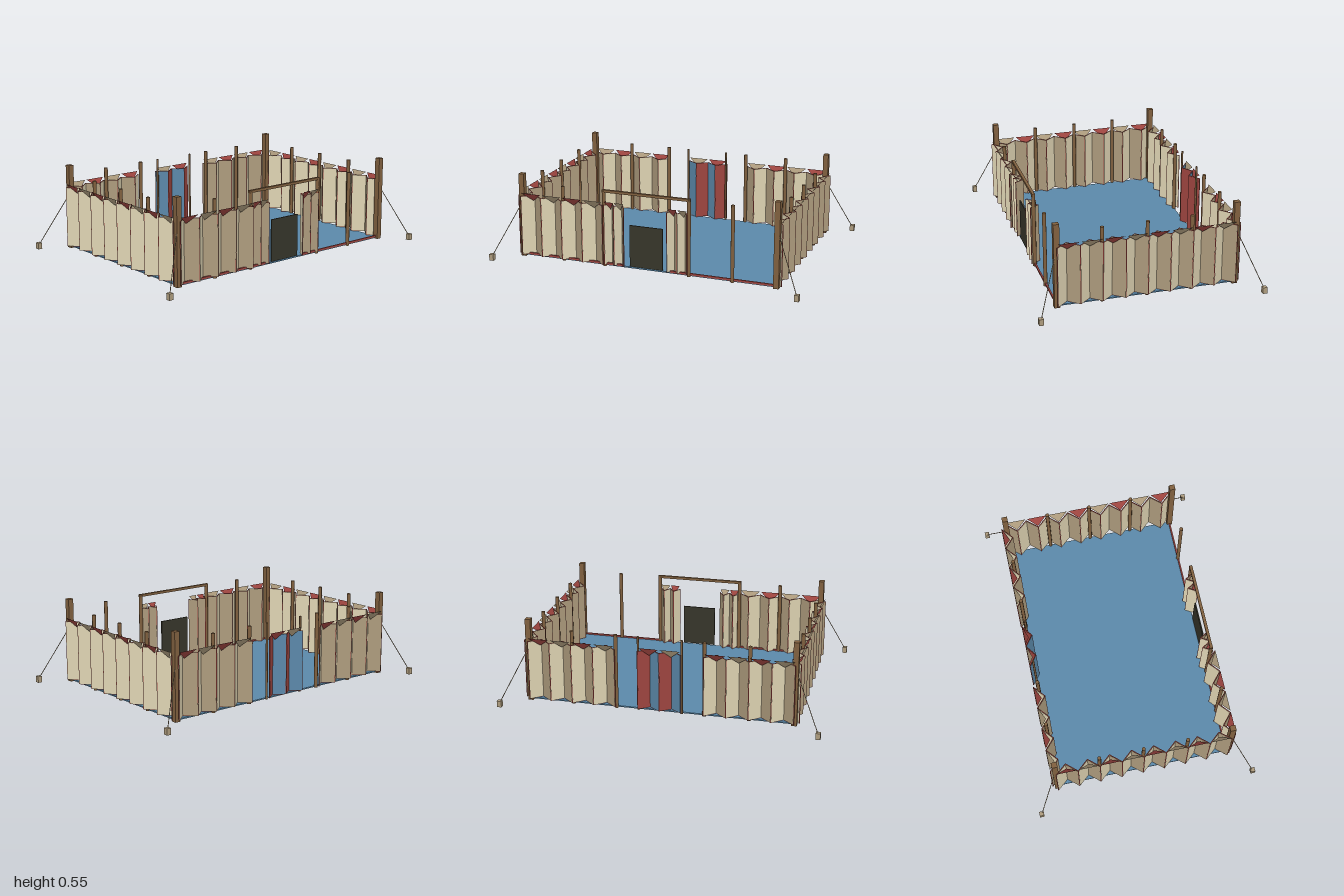
import * as THREE from 'three';

const mat = (name, color, side = THREE.FrontSide) => {
  const m = new THREE.MeshStandardMaterial({ color, side });
  m.name = name;
  return m;
};

export function createModel() {
  const root = new THREE.Group();
  root.name = 'fabricEnclosure';
  const cream = mat('cream canvas', 0xdfd4b3);
  const tan = mat('tan canvas', 0xad9b7d);
  const tanFlap = mat('tan flap', 0xad9b7d, THREE.DoubleSide);
  const red = mat('red cloth', 0x9e4540);
  const redFlap = mat('red flap', 0x9e4540, THREE.DoubleSide);
  const blue = mat('blue cloth', 0x5b88a9);
  const wood = mat('brown wood', 0x80603f);
  const dark = mat('dark door', 0x36352a);

  const add = (parent, name, geo, material, x = 0, y = 0, z = 0) => {
    const m = new THREE.Mesh(geo, material);
    m.name = name;
    m.position.set(x, y, z);
    parent.add(m);
    return m;
  };
  const box = (parent, name, w, h, d, material, x, y, z) =>
    add(parent, name, new THREE.BoxGeometry(w, h, d), material, x, y, z);

  // Floor sheet
  box(root, 'floor', 1.65, 0.008, 1.1, blue, 0, 0.018, 0);

  // Pleated wall: local x runs along the wall, local z points outwards
  const BOTTOM = 0.025, TOP = 0.402;
  function pleatedWall(parent, name, x0, x1, count, matA, matB, amp = 0.03, zMid = 0, flaps = true) {
    const g = new THREE.Group();
    g.name = name;
    g.position.z = zMid;
    parent.add(g);
    const step = (x1 - x0) / count;
    const len = Math.hypot(step, 2 * amp);
    const midY = (BOTTOM + TOP) / 2, h = TOP - BOTTOM;
    for (let i = 0; i < count; i++) {
      const angle = Math.atan2(2 * amp, step) * (i % 2 ? -1 : 1);
      const x = x0 + (i + 0.5) * step;
      const panel = box(g, 'panel', len * 0.97, h, 0.006, i % 2 ? matB : matA, x, midY, 0);
      const lining = box(g, 'lining', len + 0.003, h + 0.004, 0.0045, red, x, midY, 0);
      panel.rotation.y = lining.rotation.y = angle;
      // Triangular flap bridging each inner fold
      if (flaps && i % 2 === 0) {
        const xf = x0 + (i + 1) * step, w = Math.abs(step) * 0.92;
        const geo = new THREE.BufferGeometry();
        geo.setAttribute('position', new THREE.Float32BufferAttribute([
          xf - w, 0.425, amp, xf, 0.372, -amp + 0.022, xf + w, 0.425, amp,
        ], 3));
        geo.computeVertexNormals();
        add(g, 'flap', geo, i % 4 === 0 ? redFlap : tanFlap);
      }
    }
  }

  const side = (name, angle, distance) => {
    const pivot = new THREE.Group();
    pivot.name = name;
    pivot.rotation.y = angle;
    const g = new THREE.Group();
    g.name = name + 'Panels';
    g.position.z = distance;
    pivot.add(g);
    root.add(pivot);
    return g;
  };

  // Left and right walls
  pleatedWall(side('leftWall', Math.PI / 2, 0.825), 'pleats', -0.55, 0.55, 16, cream, tan);
  pleatedWall(side('rightWall', -Math.PI / 2, 0.825), 'pleats', -0.55, 0.55, 16, cream, tan);

  // Back wall with a coloured section between two gaps
  const back = side('backWall', Math.PI, 0.55);
  pleatedWall(back, 'pleats', -0.825, -0.275, 8, cream, tan);
  pleatedWall(back, 'pleats', 0.275, 0.825, 8, cream, tan);
  pleatedWall(back, 'colouredPleats', -0.135, 0.135, 4, red, blue, 0.025);

  // Front wall: one closed bay, gathered curtains beside the door, one open bay
  const front = side('frontWall', 0, 0.55);
  pleatedWall(front, 'pleats', -0.825, -0.275, 8, cream, tan);
  for (const s of [-1, 1]) {
    pleatedWall(front, 'gatheredCurtain', s * 0.205 - 0.065, s * 0.205 + 0.065, 4, cream, tan, 0.028, -0.01);
    box(front, 'bottomRail', 0.67, 0.012, 0.01, red, s * 0.49, 0.026, 0);
  }
  box(front, 'door', 0.215, 0.265, 0.008, dark, 0, 0.158, 0);
  box(front, 'doorBeam', 0.57, 0.016, 0.018, wood, 0, 0.49, 0);

  // Posts
  const post = (name, x, z, r) =>
    add(root, name, new THREE.CylinderGeometry(r, r, 0.48, 8).toNonIndexed(), wood, x, 0.25, z);
  for (const s of [-1, 1]) {
    for (const x of [-0.55, -0.275, 0.275, 0.55]) post('wallPost', x, s * 0.55, 0.012);
    for (const z of [-0.275, 0, 0.275]) post('sidePost', s * 0.825, z, 0.012);
    post('thinBackPost', s * 0.135, -0.55, 0.007);
  }

  // Corner posts, guy ropes and ground stakes
  for (const sx of [-1, 1]) for (const sz of [-1, 1]) {
    box(root, 'cornerPost', 0.034, 0.535, 0.036, wood, sx * 0.825, 0.278, sz * 0.55);
    box(root, 'stake', 0.028, 0.04, 0.028, tan, sx * 0.986, 0.02, sz * 0.684);
    const rope = new THREE.LineCurve3(
      new THREE.Vector3(sx * 0.984, 0.03, sz * 0.682),
      new THREE.Vector3(sx * 0.835, 0.345, sz * 0.56));
    add(root, 'guyRope', new THREE.TubeGeometry(rope, 1, 0.0025, 5), tan);
  }
  return root;
}
